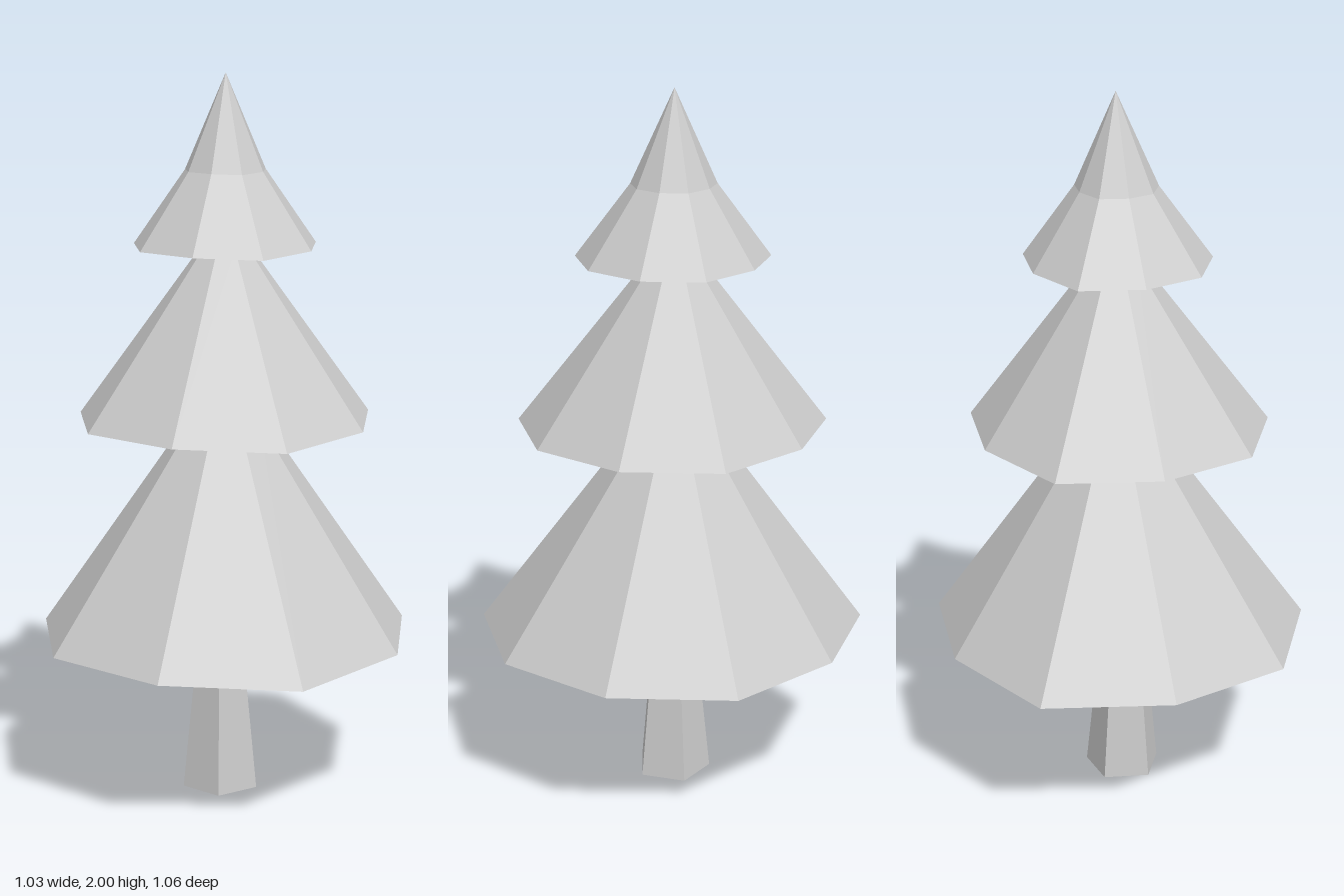
import * as THREE from 'three';

// Slightly uneven nine-sided outline: radius and height offset of each corner
const RADII = [0.522, 0.512, 0.532, 0.563, 0.542, 0.542, 0.518, 0.541, 0.504];
const LIFTS = [0.005, 0.005, 0, -0.014, -0.002, -0.002, 0, -0.005, 0.005];

// Faceted skin through rings of corners, listed from the bottom upwards
function skin(rings) {
  const positions = [];
  const n = rings[0].length;
  for (let r = 0; r < rings.length - 1; r++) {
    for (let i = 0; i < n; i++) {
      const j = (i + 1) % n;
      const [a, b, c, d] = [rings[r][i], rings[r][j], rings[r + 1][i], rings[r + 1][j]];
      if (!a.equals(b)) positions.push(...a, ...c, ...b);
      if (!c.equals(d)) positions.push(...b, ...c, ...d);
    }
  }
  const geometry = new THREE.BufferGeometry();
  geometry.setAttribute('position', new THREE.Float32BufferAttribute(positions, 3));
  geometry.computeVertexNormals();
  return geometry;
}

// One foliage ring: the uneven outline scaled about the trunk axis
function foliageRing([scale, y]) {
  return RADII.map((radius, i) => {
    const angle = (i / RADII.length) * Math.PI * 2;
    return new THREE.Vector3(
      -0.005 + Math.cos(angle) * radius * scale,
      y + LIFTS[i] * scale,
      Math.sin(angle) * radius * scale
    );
  });
}

export function createModel() {
  const tree = new THREE.Group();
  tree.name = 'pineTree';
  const material = new THREE.MeshStandardMaterial({ color: 0xcccccc, flatShading: true });

  // Tiers as [scale, height]: flat underside, flared skirt, narrow top
  const tiers = {
    lowerFoliage: [[0, 0.455], [1, 0.455], [0.195, 1.06]],
    middleFoliage: [[0.195, 1.06], [0.79, 1.06], [0.125, 1.536]],
    upperFoliage: [[0.125, 1.536], [0.49, 1.536], [0.215, 1.74], [0, 2]],
  };
  for (const [name, profile] of Object.entries(tiers)) {
    const tier = new THREE.Mesh(skin(profile.map(foliageRing)), material);
    tier.name = name;
    tree.add(tier);
  }

  // Tapered five-sided trunk with one corner towards +x
  const trunk = new THREE.Mesh(
    new THREE.CylinderGeometry(0.063, 0.108, 0.455, 5, 1, false, Math.PI / 2),
    material
  );
  trunk.name = 'trunk';
  trunk.position.set(-0.028, 0.2275, 0);
  tree.add(trunk);

  return tree;
}
